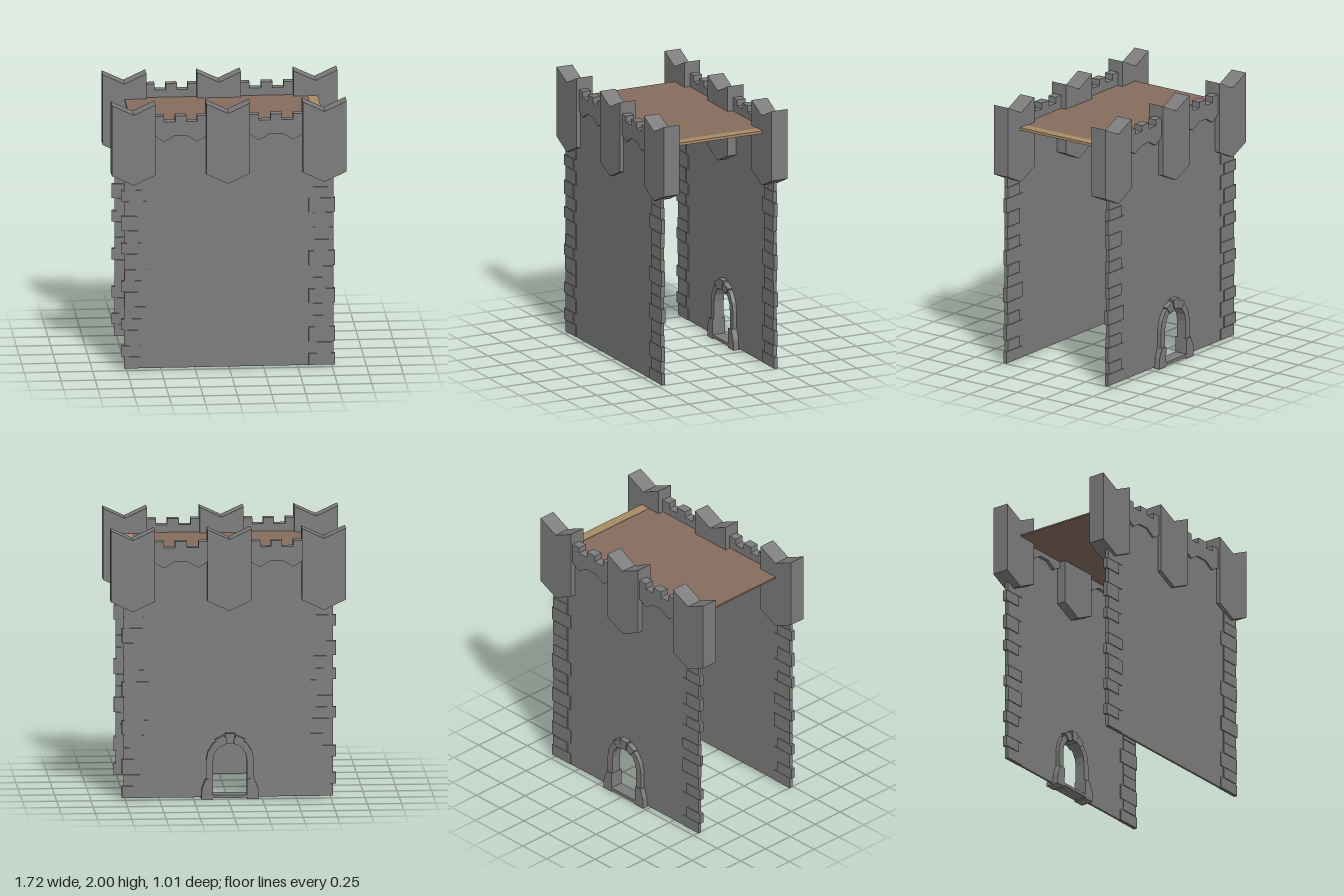
import * as THREE from 'three';

export function createModel() {
  const model = new THREE.Group();
  model.name = 'castleKeep';
  const make = (name, hex) => {
    const m = new THREE.MeshStandardMaterial({ color: hex });
    m.name = name;
    return m;
  };
  const stone = make('stone', 0x7c7c7c);
  const roofBrown = make('roofBrown', 0x856c5d);
  const wood = make('wood', 0xa88a64);

  const add = (parent, geo, mat, name) => {
    const mesh = new THREE.Mesh(geo, mat);
    mesh.name = name;
    parent.add(mesh);
    return mesh;
  };
  // box given by its minimum and maximum corners
  const box = (parent, name, mat, x0, x1, y0, y1, z0, z1) => {
    const geo = new THREE.BoxGeometry(x1 - x0, y1 - y0, z1 - z0);
    geo.translate((x0 + x1) / 2, (y0 + y1) / 2, (z0 + z1) / 2);
    return add(parent, geo, mat, name);
  };
  const outline = (pts) => new THREE.Shape(pts.map(([x, y]) => new THREE.Vector2(x, y)));
  // flat outline extruded from z0 to z1
  const plate = (parent, name, shape, z0, z1) => {
    const geo = new THREE.ExtrudeGeometry(shape, { depth: z1 - z0, bevelEnabled: false, curveSegments: 8 });
    geo.translate(0, 0, z0);
    return add(parent, geo, stone, name);
  };

  // Rounded doorway outline around x = -0.015
  const cx = -0.015;
  const archPoints = (half, bottom, spring, rise) => {
    const pts = [[cx + half, bottom]];
    for (let i = 0; i <= 8; i++) {
      const a = (i / 8) * Math.PI;
      pts.push([cx + half * Math.cos(a), spring + rise * Math.sin(a)]);
    }
    pts.push([cx - half, bottom]);
    return pts;
  };

  // Heights of the corner stone courses, and which courses are the short, shifted ones
  const courses = [0.01, 0.1, 0.185, 0.3, 0.386, 0.476, 0.587, 0.672, 0.757, 0.873, 0.958, 1.05, 1.16, 1.27, 1.354, 1.434];
  const shortLeft = [1, 3, 6, 9, 11, 13];
  const longRight = [0, 2, 5, 8, 12];

  function buildSide(side, wallZ) {
    const g = new THREE.Group();
    g.name = side + 'Side';
    // Thin curtain wall, with the doorway cut out at the back
    const wall = outline([[-0.765, 0.01], [0.755, 0.01], [0.755, 1.5], [0.54, 1.8], [-0.54, 1.8], [-0.765, 1.5]]);
    if (side === 'back') wall.holes.push(new THREE.Path(outline(archPoints(0.135, 0.02, 0.28, 0.14)).getPoints()));
    plate(g, 'wall', wall, wallZ - 0.008, wallZ + 0.008);

    // Corner stones
    for (let i = 0; i < courses.length - 1; i++) {
      const y0 = courses[i] + 0.002, y1 = courses[i + 1] - 0.002;
      const t = i % 2 ? 0.016 : 0.014;
      const [l0, l1] = shortLeft.includes(i) ? [-0.79, -0.645] : [-0.768, -0.605];
      const [r0, r1] = longRight.includes(i) ? [0.58, 0.773] : [0.612, 0.76];
      box(g, 'cornerStone', stone, l0, l1, y0, y1, wallZ - t, wallZ + t);
      box(g, 'cornerStone', stone, r0, r1, y0, y1, wallZ - t, wallZ + t);
    }

    const s = side === 'front' ? 1 : -1;
    const span = (a, b) => [Math.min(s * a, s * b), Math.max(s * a, s * b)];

    // Turrets with notched tops and pointed undersides
    for (const [x0, x1] of [[-0.86, -0.54], [-0.17, 0.15], [0.535, 0.855]]) {
      const m = (x0 + x1) / 2;
      const shape = outline([[x0, 1.47], [m, 1.395], [x1, 1.47], [x1, 2], [m, 1.925], [x0, 2]]);
      plate(g, 'turret', shape, ...span(0.377, 0.505));
    }

    // Battlements between the turrets
    for (const [x0, x1] of [[-0.54, -0.17], [0.15, 0.535]]) {
      const at = (f) => x0 + f * (x1 - x0);
      const pts = [[0, 1.757], [0.17, 1.714], [0.37, 1.76], [0.62, 1.76], [0.82, 1.714], [1, 1.752],
        [1, 1.91], [0.82, 1.91], [0.82, 1.865], [0.61, 1.865], [0.61, 1.91], [0.39, 1.91],
        [0.39, 1.865], [0.17, 1.865], [0.17, 1.91], [0, 1.91]];
      plate(g, 'battlement', outline(pts.map(([f, y]) => [at(f), y])), ...span(0.42, 0.488));
    }
    model.add(g);
  }
  buildSide('front', 0.467);
  buildSide('back', -0.453);

  // Stone door frame in the back wall
  const door = new THREE.Group();
  door.name = 'doorway';
  const frame = outline(archPoints(0.175, 0.01, 0.28, 0.185));
  frame.holes.push(new THREE.Path(outline(archPoints(0.125, 0.03, 0.28, 0.14)).getPoints()));
  plate(door, 'doorFrame', frame, -0.493, -0.415);
  box(door, 'doorSill', stone, cx - 0.17, cx + 0.17, 0.01, 0.032, -0.503, -0.402);
  // Flared feet
  for (const s of [-1, 1]) {
    const foot = outline([[cx + s * 0.125, 0], [cx + s * 0.21, 0], [cx + s * 0.205, 0.08],
      [cx + s * 0.178, 0.15], [cx + s * 0.124, 0.15]]);
    plate(door, 'doorFoot', foot, -0.503, -0.402);
  }
  // Wedge stones at the crown of the arch
  for (let i = -1; i <= 1; i++) {
    const a0 = Math.PI / 2 + (i - 0.46) * 0.42, a1 = Math.PI / 2 + (i + 0.46) * 0.42;
    const at = (a, rx, ry) => [cx + rx * Math.cos(a), 0.28 + ry * Math.sin(a)];
    const top = i === 0 ? 0.21 : 0.198;
    const wedge = outline([at(a0, 0.12, 0.135), at(a0, 0.19, top), at(a1, 0.19, top), at(a1, 0.12, 0.135)]);
    plate(door, 'archStone', wedge, -0.504 + Math.abs(i) * 0.004, -0.401 - Math.abs(i) * 0.004);
  }
  model.add(door);

  // Roof deck and the beam along its right edge
  box(model, 'roofDeck', roofBrown, -0.7, 0.635, 1.798, 1.81, -0.42, 0.42);
  box(model, 'roofBeam', wood, 0.635, 0.71, 1.793, 1.813, -0.42, 0.42);
  return model;
}
